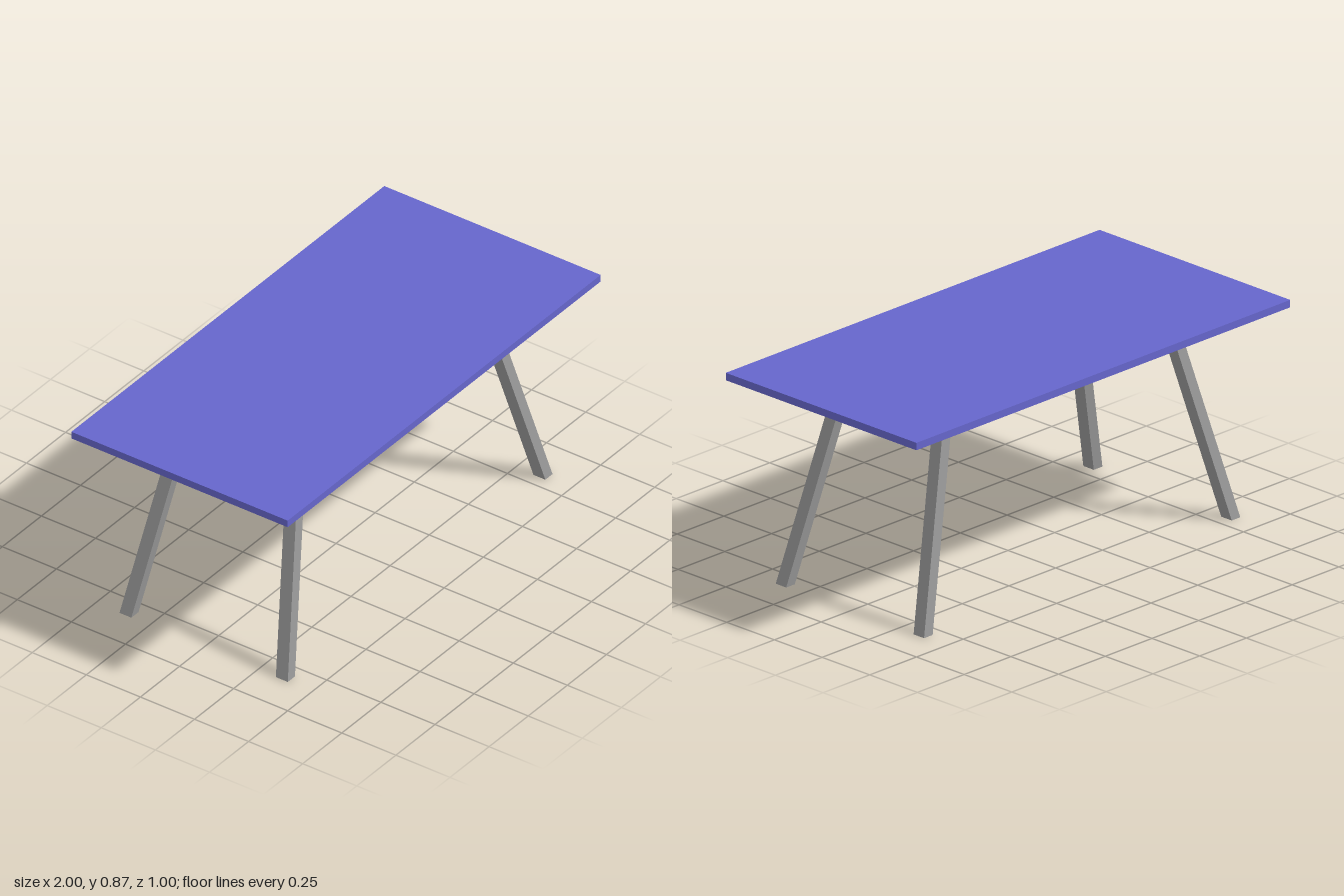
import * as THREE from 'three';

const TOP = 0.835, RAIL = 0.78;
// inner and outer faces of the splayed legs at height y
const xIn = y => 0.8 - 0.225 * y / TOP, xOut = y => xIn(y) + 0.046;
const zIn = y => 0.334 - 0.112 * y / TOP, zOut = y => zIn(y) + 0.055;

// box whose x and z limits vary with height
function skewedBox(y0, y1, xRange, zRange) {
  const g = new THREE.BoxGeometry(1, 1, 1);
  const p = g.attributes.position;
  for (let i = 0; i < p.count; i++) {
    const y = p.getY(i) < 0 ? y0 : y1;
    const x = xRange(y)[p.getX(i) < 0 ? 0 : 1];
    const z = zRange(y)[p.getZ(i) < 0 ? 0 : 1];
    p.setXYZ(i, x, y, z);
  }
  g.computeVertexNormals();
  return g;
}

// limits of a band on one side, or of the span between both sides
const band = (s, a, b) => y => (s > 0 ? [a(y), b(y)] : [-b(y), -a(y)]);
const span = a => y => [-a(y), a(y)];

export function createModel() {
  const group = new THREE.Group();
  const blue = new THREE.MeshStandardMaterial({ color: 0x6666cc });
  blue.name = 'blue top';
  const grey = new THREE.MeshStandardMaterial({ color: 0x999999 });
  grey.name = 'grey frame';
  const add = (name, geometry, material) => {
    const mesh = new THREE.Mesh(geometry, material);
    mesh.name = name;
    group.add(mesh);
    return mesh;
  };

  // table top
  add('tableTop', new THREE.BoxGeometry(2, 0.03, 1), blue).position.y = TOP + 0.015;

  for (const s of [1, -1]) {
    const xBand = band(s, xIn, xOut), zBand = band(s, zIn, zOut);
    const side = s > 0 ? 'left' : 'right', end = s > 0 ? 'front' : 'back';
    // rails between the legs
    add(end + 'Rail', skewedBox(RAIL, TOP, span(xIn), zBand), grey);
    add(side + 'Rail', skewedBox(RAIL, TOP, xBand, span(zIn)), grey);
    // splayed legs
    for (const t of [1, -1]) {
      const name = side + (t > 0 ? 'Front' : 'Back') + 'Leg';
      add(name, skewedBox(0, TOP, xBand, band(t, zIn, zOut)), grey);
    }
  }
  return group;
}
